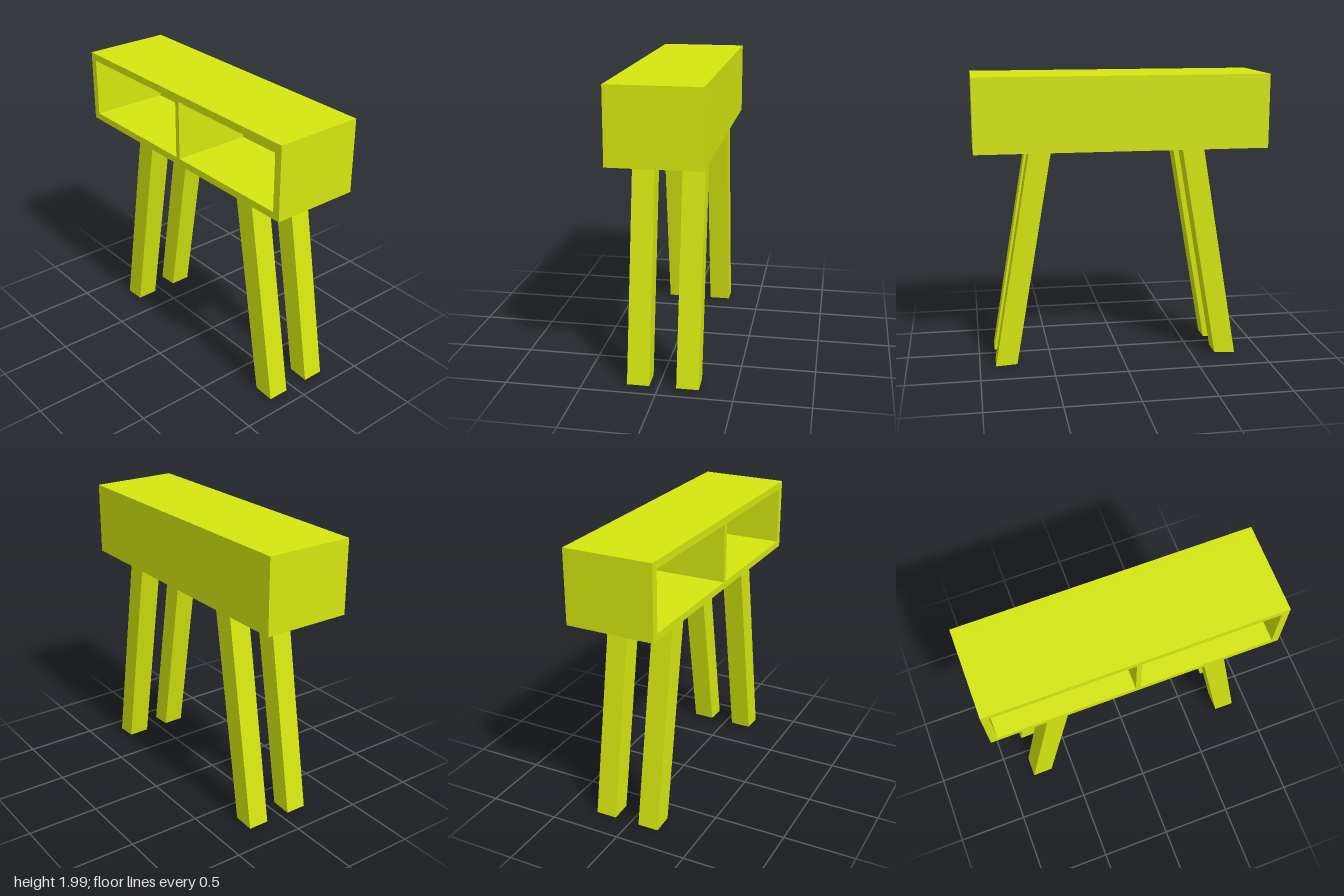
import * as THREE from 'three';

const material = new THREE.MeshStandardMaterial({ color: 0xd4e60f, flatShading: true });

// Closed polygon from corner points
function polygon(points, Type = THREE.Shape) {
  return new Type(points.map(([x, y]) => new THREE.Vector2(x, y)));
}

const rectangle = (x0, x1, y0, y1) => [[x0, y0], [x1, y0], [x1, y1], [x0, y1]];

// Straight extrusion of a front outline between two depths
function slab(name, shape, zBack, zFront) {
  const geometry = new THREE.ExtrudeGeometry(shape, { depth: zFront - zBack, bevelEnabled: false });
  geometry.translate(0, 0, zBack);
  const mesh = new THREE.Mesh(geometry, material);
  mesh.name = name;
  return mesh;
}

export function createModel() {
  const model = new THREE.Group();
  model.name = 'consoleTable';

  const bottom = 1.487, top = 1.99, depth = 0.305, backInner = -0.25;

  // Cabinet walls with two open compartments, closed by a back panel
  const cabinet = new THREE.Group();
  cabinet.name = 'cabinet';
  const frame = polygon(rectangle(-1, 1, bottom, top));
  for (const [x0, x1] of [[-0.95, -0.01], [0.025, 0.948]]) {
    frame.holes.push(polygon(rectangle(x0, x1, 1.535, 1.94), THREE.Path));
  }
  cabinet.add(
    slab('cabinetFrame', frame, backInner, depth),
    slab('backPanel', polygon(rectangle(-1, 1, bottom, top)), -depth, backInner)
  );
  model.add(cabinet);

  // Splayed legs: outer and inner edge at the foot, then at the cabinet
  const sides = {
    Right: [[-0.813, 0], [-0.667, 0.008], [-0.41, bottom], [-0.56, bottom]],
    Left: [[0.743, 0.008], [0.89, 0], [0.635, bottom], [0.488, bottom]],
  };
  const rows = { front: [0.062, 0.21], back: [-0.265, -0.117] };
  for (const [row, [z0, z1]] of Object.entries(rows)) {
    for (const [side, outline] of Object.entries(sides)) {
      model.add(slab(`${row}${side}Leg`, polygon(outline), z0, z1));
    }
  }
  return model;
}
